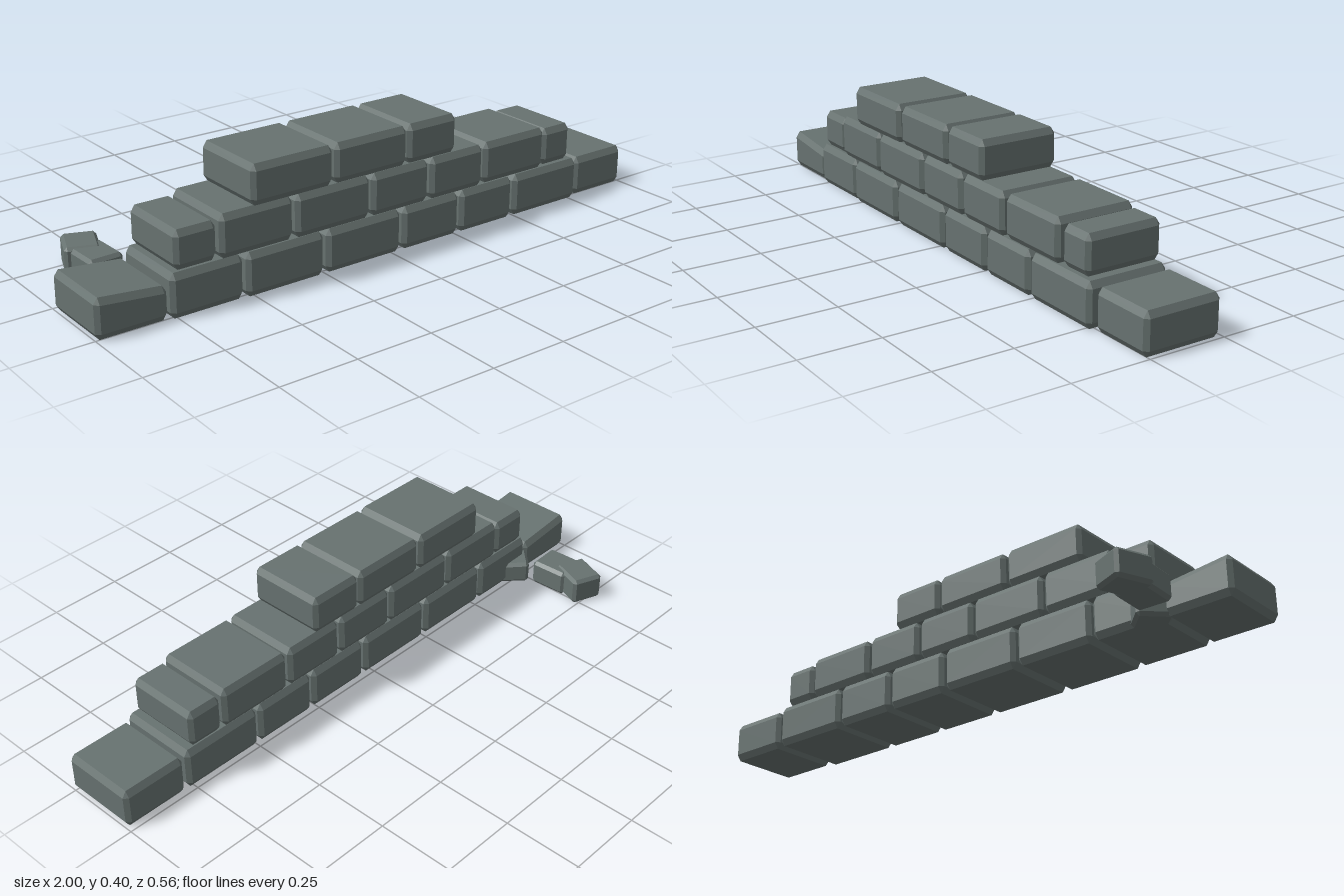
import * as THREE from 'three';
import { ConvexGeometry } from 'three/addons/geometries/ConvexGeometry.js';

// Chamfered block standing on y = 0; its top may slope from left height hl to right height hr
function blockGeometry(w, hl, hr, d, c = [0.013, 0.02, 0.013]) {
  const [cx, cy, cz] = c;
  const points = [];
  for (const sx of [-1, 1]) for (const sy of [0, 1]) for (const sz of [-1, 1]) {
    const add = (ix, iy, iz) => {
      const x = sx * (w / 2 - ix);
      const top = hl + (hr - hl) * (x / w + 0.5);
      points.push(new THREE.Vector3(x, sy ? top - iy : iy, sz * (d / 2 - iz)));
    };
    add(0, cy, cz);
    add(cx, 0, cz);
    add(cx, cy, 0);
  }
  return new ConvexGeometry(points);
}

export function createModel() {
  const model = new THREE.Group();
  model.name = 'ruinedWall';
  const stone = new THREE.MeshStandardMaterial({ color: 0x677270 });
  stone.name = 'greyStone';

  // Courses: each block is [x start, x end, left height, right height, z back, z front]
  const courses = [
    { name: 'bottomCourse', y: 0, blocks: [
      [-1, -0.777, 0.127, 0.104, 0.01, 0.262],
      [-0.772, -0.535, 0.138, 0.138, 0.008, 0.272],
      [-0.527, -0.257, 0.138, 0.138, 0.008, 0.278],
      [-0.246, 0.03, 0.138, 0.138, 0.008, 0.278],
      [0.04, 0.262, 0.138, 0.138, 0.008, 0.278],
      [0.27, 0.487, 0.138, 0.138, 0.008, 0.278],
      [0.495, 0.773, 0.138, 0.138, 0.008, 0.278],
      [0.783, 0.998, 0.13, 0.13, 0.01, 0.264]] },
    { name: 'middleCourse', y: 0.139, blocks: [
      [-0.752, -0.616, 0.12, 0.12, 0.012, 0.264],
      [-0.61, -0.363, 0.135, 0.135, 0.008, 0.274],
      [-0.355, -0.088, 0.135, 0.135, 0.008, 0.278],
      [-0.08, 0.137, 0.135, 0.135, 0.008, 0.278],
      [0.146, 0.357, 0.135, 0.135, 0.008, 0.278],
      [0.367, 0.622, 0.135, 0.135, 0.008, 0.274],
      [0.629, 0.747, 0.123, 0.123, 0.012, 0.264]] },
    { name: 'topCourse', y: 0.273, blocks: [
      [-0.505, -0.224, 0.125, 0.125, 0.008, 0.278],
      [-0.214, 0.052, 0.125, 0.125, 0.008, 0.276],
      [0.058, 0.246, 0.125, 0.125, 0.008, 0.274]] },
  ];
  for (const { name, y, blocks } of courses) {
    const course = new THREE.Group();
    course.name = name;
    blocks.forEach(([x0, x1, hl, hr, z0, z1], i) => {
      const mesh = new THREE.Mesh(blockGeometry(x1 - x0, hl, hr, z1 - z0), stone);
      mesh.name = `${name}Block${i + 1}`;
      mesh.position.set((x0 + x1) / 2, y, (z0 + z1) / 2);
      course.add(mesh);
    });
    model.add(course);
  }

  // Fallen rubble behind the wall: [x, z, width, left height, right height, depth, turn]
  const rubble = [
    [-0.8, -0.205, 0.108, 0.09, 0.09, 0.124, -0.37],
    [-0.797, -0.117, 0.113, 0.085, 0.085, 0.13, 0.04],
    [-0.728, 0.029, 0.11, 0.077, 0.072, 0.11, -0.785],
  ];
  rubble.forEach(([x, z, w, hl, hr, d, turn], i) => {
    const mesh = new THREE.Mesh(blockGeometry(w, hl, hr, d, [0.01, 0.011, 0.01]), stone);
    mesh.name = `fallenStone${i + 1}`;
    mesh.position.set(x, 0, z);
    mesh.rotation.y = turn;
    model.add(mesh);
  });
  return model;
}
